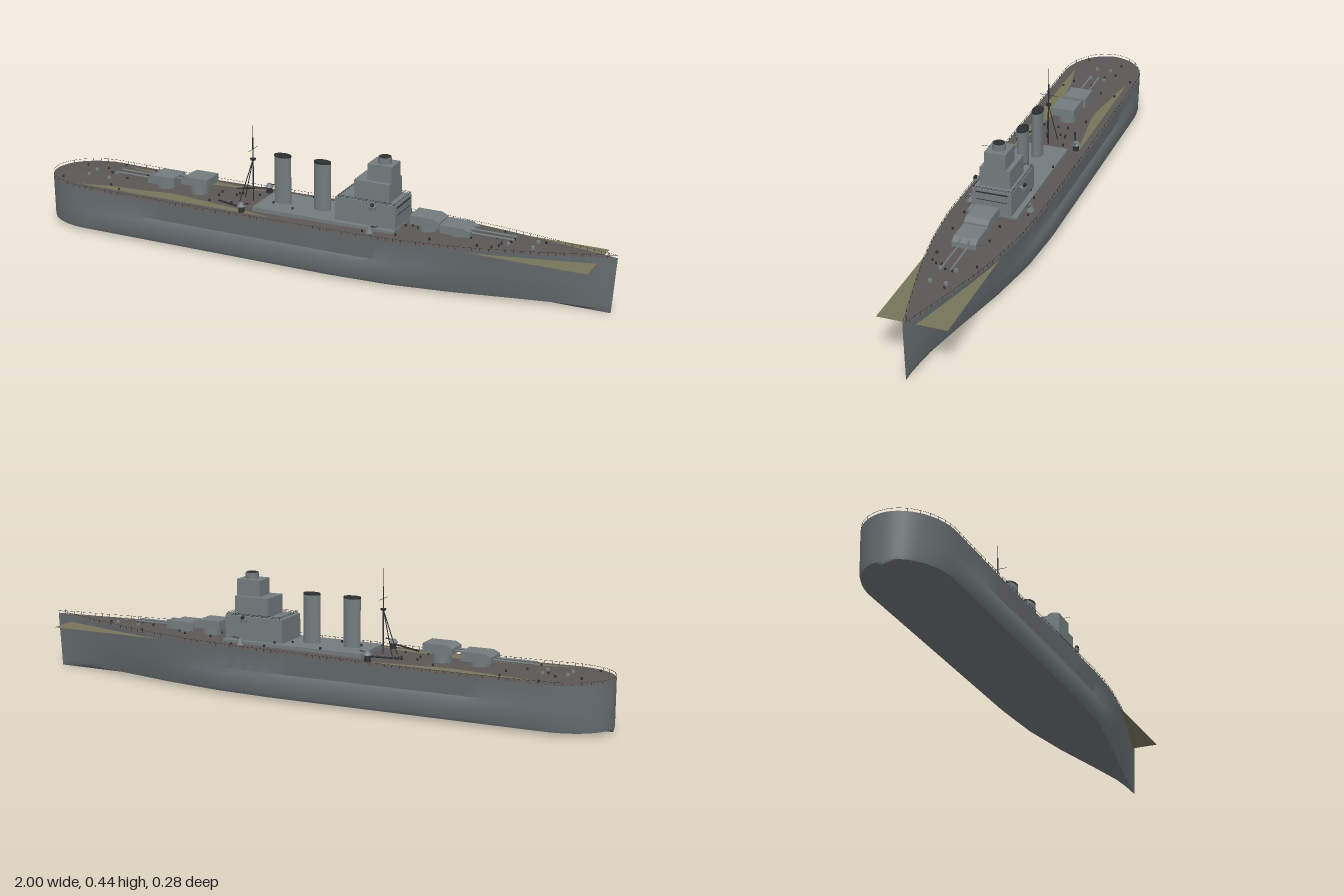
import * as THREE from 'three';
import { toCreasedNormals, mergeGeometries } from 'three/addons/utils/BufferGeometryUtils.js';

const mat = (name, color, side = THREE.FrontSide) => {
  const m = new THREE.MeshStandardMaterial({ color, side });
  m.name = name;
  return m;
};

// Linear interpolation through [x, value] pairs
function lerpTable(table, x) {
  for (let i = 1; i < table.length; i++) {
    const [x0, v0] = table[i - 1], [x1, v1] = table[i];
    if (x <= x1) return v0 + (v1 - v0) * Math.max(0, (x - x0) / (x1 - x0));
  }
  return table[table.length - 1][1];
}

// Hull lines along the length: deck half width, keel half width, deck edge height
const BOW_DECK = [[0.2, 0.139], [0.3, 0.137], [0.4, 0.13], [0.5, 0.117], [0.6, 0.1], [0.7, 0.078], [0.8, 0.053], [0.9, 0.027], [1, 0]];
const BOW_KEEL = [[0.1, 0.135], [0.3, 0.124], [0.5, 0.092], [0.7, 0.048], [0.85, 0.018], [1, 0]];
const SHEER = [[-1, 0.163], [-0.75, 0.159], [-0.5, 0.1575], [-0.25, 0.159], [0, 0.162], [0.3, 0.166], [0.6, 0.172], [0.85, 0.18], [1, 0.186]];
const sternRound = x => (x < -0.82 ? Math.sqrt(Math.max(0, 1 - ((-0.82 - x) / 0.18) ** 2)) : 1);
const deckHalf = x => lerpTable(BOW_DECK, x) * sternRound(x);
const keelHalf = x => lerpTable(BOW_KEEL, x) * sternRound(x);
const edgeY = x => lerpTable(SHEER, x);
const deckY = (x, z = 0) => edgeY(x) + 0.006 * (1 - (z / Math.max(deckHalf(x), 1e-4)) ** 2) * Math.min(1, deckHalf(x) / 0.1);

// Skin between successive cross-sections
function loft(rings) {
  const n = rings[0].length, index = [];
  for (let i = 0; i < rings.length - 1; i++)
    for (let j = 0; j < n - 1; j++) {
      const a = i * n + j, b = a + 1, c = a + n, d = c + 1;
      index.push(a, b, c, b, d, c);
    }
  const g = new THREE.BufferGeometry();
  g.setAttribute('position', new THREE.Float32BufferAttribute(rings.flat(2), 3));
  g.setIndex(index);
  return toCreasedNormals(g, 0.6);
}

// Half section from deck edge to keel, with a bulge along the middle body
function hullRing(x) {
  const d = deckHalf(x), k = keelHalf(x), top = edgeY(x);
  const bulge = lerpTable([[-0.85, 0], [-0.6, 1], [0.25, 1], [0.5, 0]], x);
  const at = t => k + (d - k) * t;
  const half = [
    [top, d], [0.094, at(0.6) - 0.006 * bulge], [0.08, at(0.5) + 0.002 * bulge],
    [0.028, at(0.12) + 0.003 * bulge], [0.014, k * 0.97], [0.002, 0],
  ];
  const rake = y => x - (x > 0.9 ? (x - 0.9) * 0.12 * (1 - y / 0.186) : 0);
  const left = half.map(([y, z]) => [rake(y), y, z]);
  return [...left, ...left.slice(0, -1).reverse().map(([a, y, z]) => [a, y, -z])];
}

export function createModel() {
  const ship = new THREE.Group();
  ship.name = 'warship';
  const hullGrey = mat('hull grey', 0x666d70);
  const grey = mat('superstructure grey', 0x727b7e);
  const deckBrown = mat('deck brown', 0x5b5654);
  const tan = mat('wood tan', 0x77735a);
  const dark = mat('dark fittings', 0x2c2f31, THREE.DoubleSide);

  const add = (name, geo, m, x = 0, y = 0, z = 0, parent = ship) => {
    const mesh = new THREE.Mesh(geo, m);
    mesh.name = name;
    mesh.position.set(x, y, z);
    parent.add(mesh);
    return mesh;
  };
  // Box given by its extents in x and y, and its width in z
  const block = (name, x0, x1, y0, y1, w, m = grey, z = 0, parent = ship) =>
    add(name, new THREE.BoxGeometry(x1 - x0, y1 - y0, w), m, (x0 + x1) / 2, (y0 + y1) / 2, z, parent);
  // Thin round bar between two points
  const bar = (a, b, r, sides = 5) => {
    const p = new THREE.Vector3(...a), q = new THREE.Vector3(...b), dir = q.clone().sub(p);
    const g = new THREE.CylinderGeometry(r, r, dir.length(), sides);
    g.applyQuaternion(new THREE.Quaternion().setFromUnitVectors(new THREE.Vector3(0, 1, 0), dir.normalize()));
    return g.translate(...p.add(q).multiplyScalar(0.5).toArray());
  };

  // Hull and cambered deck
  const stations = [];
  for (let i = 0; i <= 12; i++) stations.push(-0.82 - 0.18 * Math.cos((i / 12) * Math.PI / 2));
  for (let i = 1; i <= 36; i++) stations.push(-0.82 + (i / 36) * 1.82);
  add('hull', loft(stations.map(hullRing)), hullGrey);
  add('deck', loft(stations.map(x => {
    const ring = [];
    for (let j = -6; j <= 6; j++) {
      const z = (j / 6) * deckHalf(x);
      ring.push([x, deckY(x, z), z]);
    }
    return ring;
  })), deckBrown);

  // Flat wooden plate that breaks through the deck aft and beyond the bow
  add('woodenDeckPlate', new THREE.BoxGeometry(1.84, 0.001, 0.218), tan, 0.02, 0.1618, -0.002).rotation.x = -0.006;

  // Deck edge railing
  const posts = [], edge = [];
  for (let i = 0; i < stations.length; i++) edge.push(stations[i]);
  for (const s of [1, -1]) {
    const rail = edge.map(x => [x, edgeY(x) + 0.009, s * deckHalf(x) * 0.985]);
    for (let i = 1; i < rail.length; i++) posts.push(bar(rail[i - 1], rail[i], 0.0005, 3));
    for (let x = -0.98; x < 0.98; x += 0.025) {
      const z = s * deckHalf(x) * 0.985;
      posts.push(bar([x, edgeY(x), z], [x, edgeY(x) + 0.01, z], 0.0007, 3));
    }
  }
  add('deckRailing', mergeGeometries(posts), dark);

  // Deckhouse and stepped bridge tower
  block('deckhouse', -0.2, 0.3, 0.155, 0.178, 0.165);
  block('bridgeBase', 0.09, 0.298, 0.17, 0.256, 0.13);
  block('bridgeMiddle', 0.148, 0.27, 0.256, 0.318, 0.1);
  block('bridgeUpper', 0.187, 0.27, 0.318, 0.372, 0.07);
  add('directorTower', new THREE.CylinderGeometry(0.022, 0.022, 0.02, 16), grey, 0.232, 0.382, 0);
  add('directorCap', new THREE.CylinderGeometry(0.019, 0.019, 0.003, 16), dark, 0.232, 0.392, 0);
  block('bridgeWindows', 0.297, 0.2995, 0.245, 0.249, 0.105, dark);
  block('bridgeSill', 0.297, 0.2995, 0.221, 0.2225, 0.1, dark);
  const rails = [];
  for (const h of [0.259, 0.263]) for (const s of [1, -1]) {
    rails.push(bar([0.1, h, s * 0.063], [0.295, h, s * 0.063], 0.0006, 4));
    rails.push(bar([s > 0 ? 0.295 : 0.1, h, -0.063], [s > 0 ? 0.295 : 0.1, h, 0.063], 0.0006, 4));
  }
  for (let x = 0.1; x < 0.3; x += 0.0325) for (const s of [1, -1]) rails.push(bar([x, 0.256, s * 0.063], [x, 0.263, s * 0.063], 0.0007, 4));
  rails.push(bar([0.235, 0.376, 0.03], [0.235, 0.376, 0.055], 0.0007, 4));
  add('bridgeRailing', mergeGeometries(rails), dark);

  // Oval funnels with dark mouths
  for (const x of [-0.129, 0.014]) {
    const funnel = new THREE.Group();
    funnel.name = 'funnel';
    add('funnelCasing', new THREE.CylinderGeometry(0.029, 0.029, 0.165, 24), grey, 0, 0.2575, 0, funnel);
    add('funnelMouth', new THREE.CylinderGeometry(0.0295, 0.0295, 0.006, 24), dark, 0, 0.339, 0, funnel);
    funnel.scale.z = 0.62;
    funnel.position.x = x;
    ship.add(funnel);
  }

  // Main gun turrets: centre x, floor, roof, direction the guns face, muzzle x
  const turrets = [[0.487, 0.183, 0.21, 1, 0.676], [0.385, 0.196, 0.224, 1, 0.55], [-0.568, 0.18, 0.21, -1, -0.75], [-0.44, 0.196, 0.224, -1, -0.56]];
  for (const [x, y0, y1, dir, muzzle] of turrets) {
    const turret = new THREE.Group();
    turret.name = 'mainTurret';
    const shape = new THREE.Shape([[-0.05, y0], [0.05, y0], [0.05, y1 - 0.01], [0.03, y1], [-0.05, y1]].map(p => new THREE.Vector2(...p)));
    const house = new THREE.ExtrudeGeometry(shape, { depth: 0.078, bevelEnabled: false }).translate(0, 0, -0.039);
    if (dir < 0) house.rotateY(Math.PI);
    add('gunHouse', house, grey, x, 0, 0, turret);
    add('barbette', new THREE.CylinderGeometry(0.032, 0.032, y0 - 0.15, 20), grey, x, (y0 + 0.15) / 2, 0, turret);
    const gunY = y0 + 0.009;
    for (const z of [-0.015, 0.015]) add('gunBarrel', bar([x, gunY, z], [muzzle, gunY, z], 0.0035, 8), grey, 0, 0, 0, turret);
    ship.add(turret);
  }

  // Paired fittings on both sides
  for (const s of [1, -1]) {
    // Small gun mounts beside the mast, and lookout platforms on the bridge
    add('mountBase', new THREE.CylinderGeometry(0.009, 0.011, 0.022, 12), dark, -0.23, 0.171, s * 0.1);
    add('mountShield', new THREE.CylinderGeometry(0.007, 0.015, 0.011, 12), grey, -0.23, 0.188, s * 0.1);
    add('lookoutPlatform', new THREE.CylinderGeometry(0.013, 0.011, 0.011, 12), grey, 0.225, 0.244, s * 0.077);
    add('lookoutBracket', bar([0.225, 0.24, s * 0.06], [0.225, 0.24, s * 0.076], 0.003), grey);
    add('searchlight', new THREE.CylinderGeometry(0.006, 0.006, 0.008, 10), dark, 0.225, 0.255, s * 0.082).rotation.z = Math.PI / 2;
    // Crane booms and side boats' storage
    add('craneBoom', bar([-0.235, 0.178, s * 0.098], [-0.335, 0.172, s * 0.062], 0.003), dark);
    for (const x of [-0.23, 0.225])
      for (const dz of [-0.004, 0.004]) add('lightGun', bar([x, 0.19, s * 0.1 + dz], [x + 0.028, 0.194, s * 0.1 + dz], 0.001), dark);
    add('forwardMount', new THREE.CylinderGeometry(0.006, 0.013, 0.022, 12), grey, 0.225, 0.18, s * 0.1);
  }

  // Tripod mast with lookout disc and yard
  const mast = [
    bar([-0.238, 0.16, 0], [-0.238, 0.385, 0], 0.0022), bar([-0.238, 0.385, 0], [-0.238, 0.442, 0], 0.0006),
    bar([-0.238, 0.31, 0], [-0.28, 0.16, 0.02], 0.0016), bar([-0.238, 0.31, 0], [-0.28, 0.16, -0.02], 0.0016),
    bar([-0.238, 0.345, -0.03], [-0.238, 0.345, 0.03], 0.0008),
  ];
  add('mast', mergeGeometries(mast), dark);
  add('mastPlatform', new THREE.CylinderGeometry(0.01, 0.008, 0.006, 12), dark, -0.238, 0.31, 0);

  // Hatches, vents and bollards scattered along the deck
  let seed = 7;
  const rnd = () => (seed = (seed * 16807) % 2147483647) / 2147483647;
  const vents = [];
  for (let i = 0; i < 56; i++) {
    const x = -0.93 + 1.7 * rnd(), z = (rnd() * 2 - 1) * deckHalf(x) * 0.85;
    const y = x > -0.2 && x < 0.3 && Math.abs(z) < 0.083 ? 0.178 : deckY(x, z);
    vents.push(new THREE.CylinderGeometry(0.0035, 0.0035, 0.007, 8).translate(x, y + 0.003, z));
  }
  add('deckVents', mergeGeometries(vents), dark);
  for (const x of [-0.86, -0.78, 0.66, 0.74]) for (const s of [1, -1])
    add('capstan', new THREE.CylinderGeometry(0.006, 0.007, 0.008, 10), grey, x, deckY(x, 0.025) + 0.003, s * 0.025);
  add('bowStaff', bar([0.97, 0.18, 0], [0.97, 0.2, 0], 0.0008), dark);
  return ship;
}
